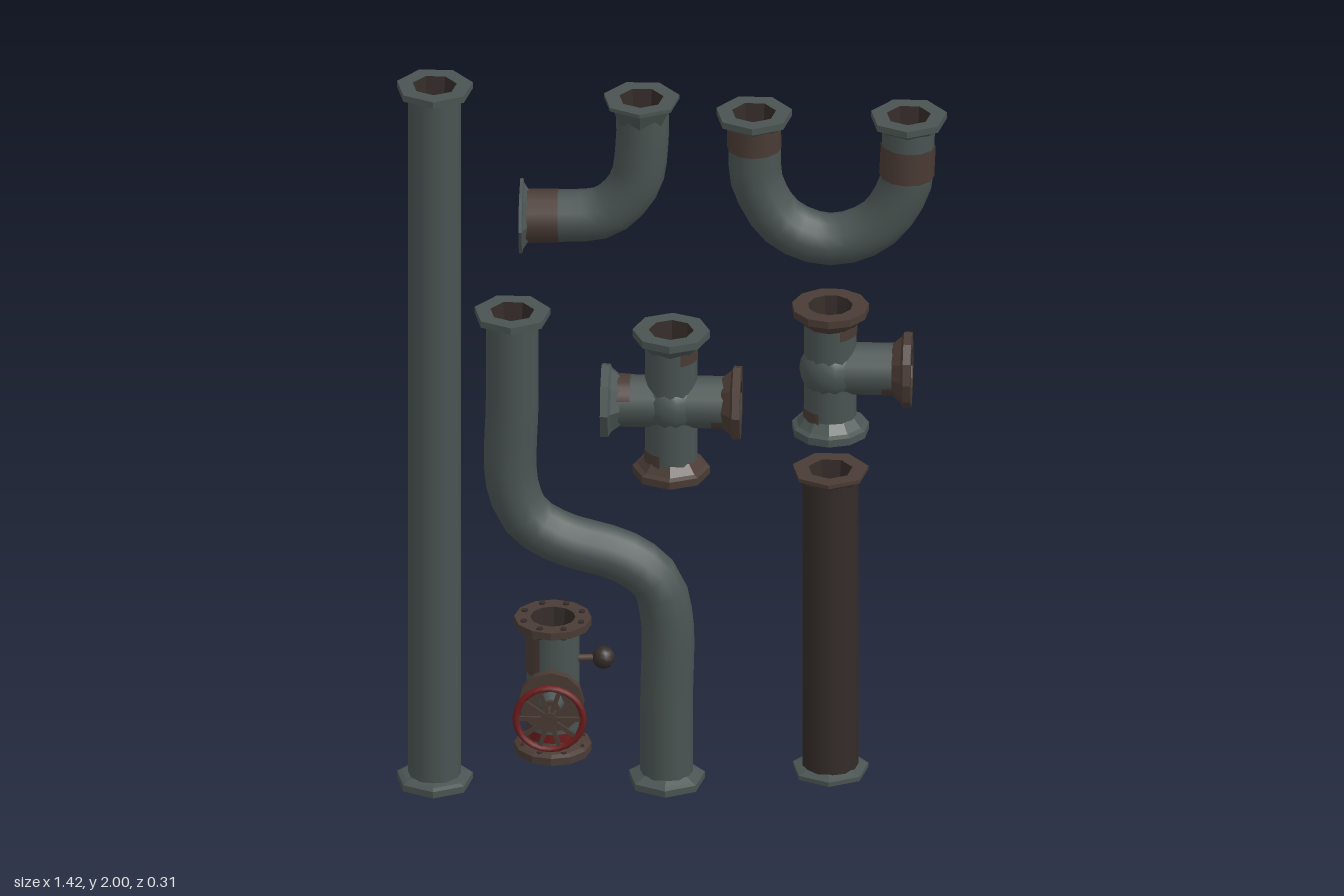
import * as THREE from 'three';

const material = (name, color) => Object.assign(new THREE.MeshStandardMaterial({ color }), { name });
const steel = material('weatheredSteel', 0x4a5452);
const rust = material('rustBrown', 0x4a3b35);
const dark = material('darkRust', 0x342c29);
const red = material('redPaint', 0x6e1c1c);

const R = 0.068; // common pipe radius
const UP = new THREE.Vector3(0, 1, 0);
const X = [1, 0, 0], NX = [-1, 0, 0], Y = [0, 1, 0], NY = [0, -1, 0], Z = [0, 0, 1];

function add(parent, name, geometry, mat, pos = [0, 0, 0], dir = Y) {
  const mesh = new THREE.Mesh(geometry, mat);
  mesh.name = name;
  mesh.position.set(...pos);
  mesh.quaternion.setFromUnitVectors(UP, new THREE.Vector3(...dir).normalize());
  parent.add(mesh);
  return mesh;
}

function section(parent, name) {
  const g = new THREE.Group();
  g.name = name;
  parent.add(g);
  return g;
}

const lathe = (pts, sides) => new THREE.LatheGeometry(pts.map(p => new THREE.Vector2(...p)), sides);

function faceted(geometry) {
  const g = geometry.toNonIndexed();
  g.computeVertexNormals();
  return g;
}

// Flange whose outer face sits at pos and looks along dir, with a recessed dark bore
function flange(parent, pos, dir, { sides = 7, mat = steel, neck = 0.03, thick = 0.018, radius = 0.1 } = {}) {
  const bore = 0.058;
  const g = section(parent, 'flange');
  add(g, 'flangeRing', faceted(lathe([[R, -neck - thick], [radius * 0.88, -thick * 1.3],
    [radius, -thick], [radius, 0], [bore, 0]], sides)), mat);
  add(g, 'bore', faceted(lathe([[bore, 0], [bore * 0.9, -0.06], [0, -0.06]], sides)), dark);
  g.position.set(...pos);
  g.quaternion.setFromUnitVectors(UP, new THREE.Vector3(...dir).normalize());
  return g;
}

// Straight open pipe between two points
function straight(parent, name, a, b, r = R, mat = steel, start = 0, sweep = Math.PI * 2, sides = 12) {
  const A = new THREE.Vector3(...a), d = new THREE.Vector3(...b).sub(A);
  const mid = A.clone().addScaledVector(d, 0.5);
  return add(parent, name, new THREE.CylinderGeometry(r, r, d.length(), sides, 1, true, start, sweep),
    mat, mid.toArray(), d.toArray());
}

function bent(parent, name, points, segments) {
  const curve = new THREE.CatmullRomCurve3(points.map(([x, y]) => new THREE.Vector3(x, y, 0)));
  return add(parent, name, new THREE.TubeGeometry(curve, segments, R, 12), steel);
}

export function createModel() {
  const model = new THREE.Group();
  model.name = 'pipeSet';
  const set = section(model, 'pipes');
  set.position.z = -0.055;

  // Long straight pipe
  const long = section(set, 'longPipe');
  straight(long, 'pipe', [-0.61, 0.01, 0], [-0.61, 1.99, 0]);
  flange(long, [-0.61, 2, 0], Y, { neck: 0.01 });
  flange(long, [-0.61, 0, 0], NY, { neck: 0.01 });

  // Quarter elbow
  const elbow = section(set, 'elbowPipe');
  bent(elbow, 'pipe', [[-0.385, 1.63], [-0.28, 1.633], [-0.17, 1.648], [-0.095, 1.73],
    [-0.075, 1.85], [-0.075, 1.96]], 14);
  straight(elbow, 'rustBand', [-0.38, 1.63, 0], [-0.29, 1.633, 0], R + 0.002, rust);
  flange(elbow, [-0.39, 1.63, 0], NX, { neck: 0.015, thick: 0.008 });
  flange(elbow, [-0.077, 1.975, 0], Y, { neck: 0.05, thick: 0.01 });

  // U-bend
  const uBend = section(set, 'uBendPipe');
  bent(uBend, 'pipe', [[0.213, 1.93], [0.215, 1.84], [0.222, 1.74], [0.29, 1.625], [0.41, 1.58],
    [0.53, 1.625], [0.602, 1.74], [0.61, 1.84], [0.612, 1.93]], 20);
  straight(uBend, 'rustBand', [0.214, 1.84, 0], [0.213, 1.925, 0], R + 0.002, rust);
  straight(uBend, 'rustBand', [0.607, 1.77, 0], [0.611, 1.86, 0], R + 0.003, rust);
  for (const x of [0.213, 0.612]) flange(uBend, [x, 1.94, 0], Y, { neck: 0.02 });

  // Offset S-shaped pipe
  const offset = section(set, 'offsetPipe');
  bent(offset, 'pipe', [[-0.41, 1.34], [-0.41, 1.1], [-0.41, 0.86], [-0.37, 0.765], [-0.29, 0.71],
    [-0.12, 0.655], [-0.04, 0.59], [-0.012, 0.49], [-0.012, 0.25], [-0.012, 0.03]], 32);
  flange(offset, [-0.41, 1.355, 0], Y, { neck: 0.015 });
  flange(offset, [-0.012, 0.015, 0], NY, { neck: 0.015 });

  // Short pipe, rusted over the front and sides
  const short = section(set, 'shortPipe');
  const from = Math.PI * 2 / 3, sweep = Math.PI * 0.58;
  straight(short, 'cleanBack', [0.41, 0.065, 0], [0.41, 0.915, 0], 0.072, steel, from, sweep, 4);
  straight(short, 'rustedFront', [0.41, 0.065, 0], [0.41, 0.915, 0], 0.072, dark,
    from + sweep, Math.PI * 2 - sweep, 9);
  flange(short, [0.41, 0.92, 0], Y, { neck: 0.025, thick: 0.01, mat: rust });
  flange(short, [0.41, 0.055, 0], NY, { neck: 0.01, thick: 0.012 });

  // Four-way cross and three-way tee
  function junction(name, x, y, arms, sides) {
    const g = section(set, name);
    g.position.set(x, y, 0);
    add(g, 'core', new THREE.SphereGeometry(0.08, 14, 10), steel);
    for (const [dir, len, mat] of arms) {
      const at = t => dir.map(c => c * t);
      straight(g, 'arm', [0, 0, 0], at(len - 0.01));
      straight(g, 'rustBand', at(len - 0.075), at(len - 0.02), R + 0.002, rust, 0.4, 3.2);
      flange(g, at(len), dir, { sides, mat, neck: 0.03, thick: 0.02 });
    }
  }
  junction('crossFitting', 0, 1.105, [[Y, 0.205, steel], [NY, 0.205, rust], [X, 0.18, rust], [NX, 0.18, steel]], 8);
  junction('teeFitting', 0.41, 1.21, [[Y, 0.18, rust], [NY, 0.18, steel], [X, 0.21, rust]], 11);

  // Gate valve body
  const valve = section(set, 'valve');
  valve.position.set(-0.305, 0, 0);
  straight(valve, 'body', [0, 0.11, 0], [0, 0.47, 0]);
  straight(valve, 'rustPatch', [0, 0.33, 0], [0, 0.44, 0], R + 0.002, rust, 2.2, 3.6);
  straight(valve, 'rustPatch', [0, 0.13, 0], [0, 0.24, 0], R + 0.002, rust, 3.4, 2.2);
  straight(valve, 'redMark', [0, 0.15, 0], [0, 0.175, 0], R + 0.004, red, -0.9, 1.8);
  for (const [y, dir] of [[0.48, Y], [0.1, NY]]) {
    const f = flange(valve, [0, y, 0], dir, { sides: 12, mat: rust, neck: 0.012, thick: 0.02 });
    for (let i = 0; i < 8; i++) {
      const a = (i + 0.5) * Math.PI / 4;
      add(f, 'bolt', new THREE.CylinderGeometry(0.009, 0.009, 0.032, 6), dark,
        [Math.sin(a) * 0.08, -0.012, Math.cos(a) * 0.08]);
    }
  }

  // Bonnet, stem and handwheel facing forward
  const bonnet = section(valve, 'bonnet');
  bonnet.position.set(0, 0.285, 0);
  const disc = (name, r0, r1, z0, z1, mat, sides = 12) => add(bonnet, name,
    new THREE.CylinderGeometry(r1, r0, z1 - z0, sides), mat, [0, 0, (z0 + z1) / 2], Z);
  disc('neck', 0.062, 0.058, 0, 0.09, steel);
  disc('bonnetFlange', 0.085, 0.085, 0.086, 0.108, rust);
  disc('gland', 0.034, 0.022, 0.108, 0.135, steel, 8);
  disc('stem', 0.013, 0.013, 0.13, 0.21, rust, 8);
  disc('collar', 0.025, 0.025, 0.138, 0.15, rust, 8);
  disc('wheelHub', 0.024, 0.02, 0.185, 0.208, rust, 10);
  const wheel = section(bonnet, 'handwheel');
  wheel.position.z = 0.2;
  add(wheel, 'rim', new THREE.TorusGeometry(0.087, 0.009, 6, 24), red);
  for (let i = 0; i < 10; i++) {
    const a = i * Math.PI / 5, d = [Math.cos(a), Math.sin(a), 0];
    add(wheel, 'spoke', new THREE.BoxGeometry(0.011, 0.07, 0.008), rust, d.map(c => c * 0.05), d);
  }

  // Side gauge ball on a short stem
  straight(valve, 'gaugeStem', [0.05, 0.362, 0], [0.12, 0.366, 0], 0.01, rust, 0, Math.PI * 2, 8);
  add(valve, 'gaugeBall', new THREE.SphereGeometry(0.03, 10, 8), dark, [0.13, 0.366, 0]);

  return model;
}
